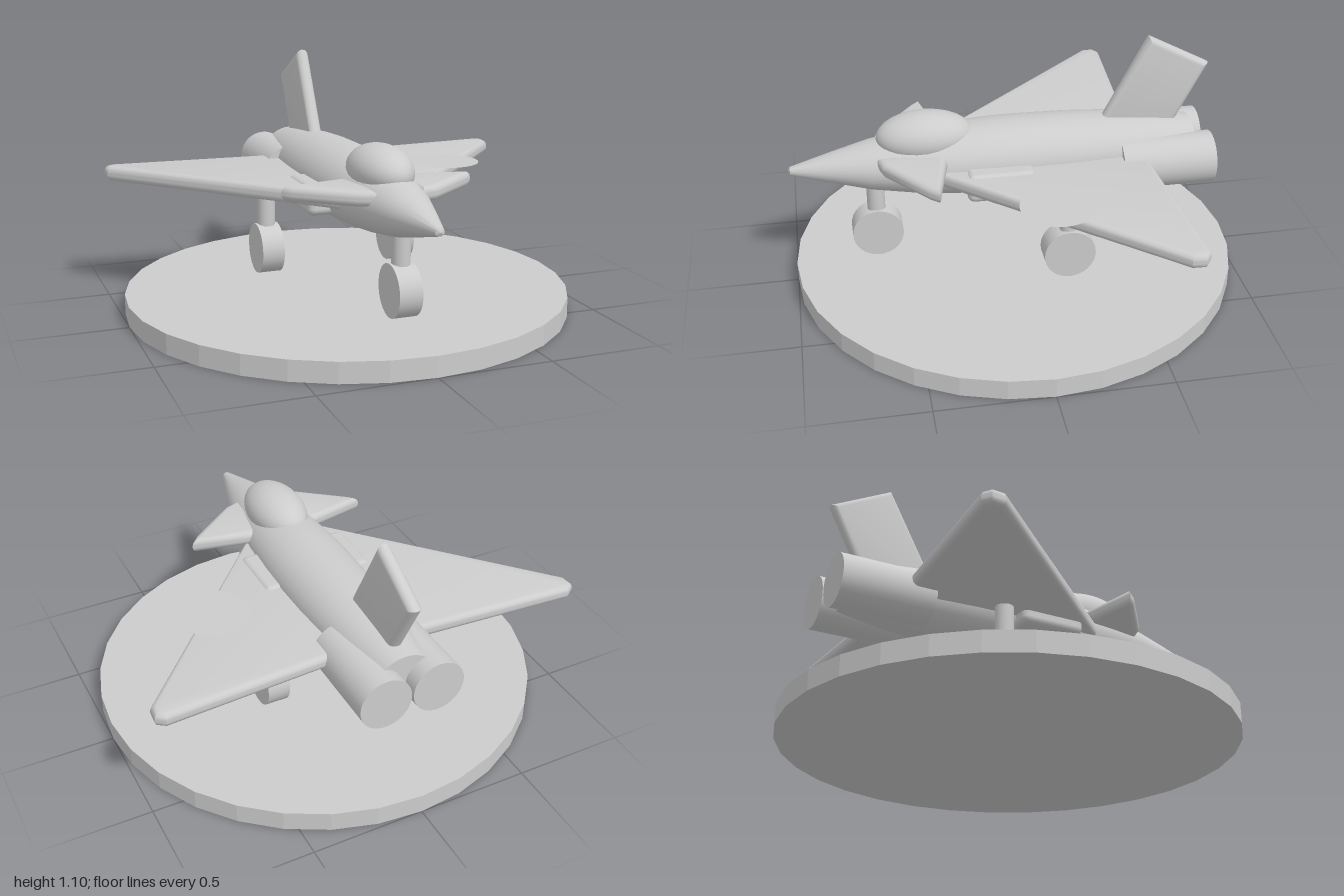
import * as THREE from 'three';
import { toCreasedNormals } from 'three/addons/utils/BufferGeometryUtils.js';
import { RoundedBoxGeometry } from 'three/addons/geometries/RoundedBoxGeometry.js';

export function createModel() {
  const model = new THREE.Group();
  model.name = 'jetOnStand';
  const grey = new THREE.MeshStandardMaterial({ color: 0xcccccc });
  grey.name = 'lightGrey';
  const greyThin = new THREE.MeshStandardMaterial({ color: 0xcccccc, side: THREE.DoubleSide });
  greyThin.name = 'lightGreyThin';

  const add = (name, geometry, x = 0, y = 0, z = 0, material = grey) => {
    const mesh = new THREE.Mesh(geometry, material);
    mesh.name = name;
    mesh.position.set(x, y, z);
    model.add(mesh);
    return mesh;
  };

  // Slab with rounded rim, centred on its own thickness
  const slab = (points, bevel = 0.028, thickness = 0.066) => {
    const shape = new THREE.Shape(points.map(([u, v]) => new THREE.Vector2(u, v)));
    const core = thickness - 2 * bevel;
    const geometry = new THREE.ExtrudeGeometry(shape, {
      depth: core, bevelEnabled: true, bevelThickness: bevel, bevelSize: bevel, bevelSegments: 4,
    });
    geometry.translate(0, 0, -core / 2);
    return toCreasedNormals(geometry, 0.6);
  };
  const flatSlab = (points, side) =>
    slab(points.map(([x, z]) => [x * side, -z])).rotateX(-Math.PI / 2);

  // Round display base
  add('base', toCreasedNormals(new THREE.CylinderGeometry(1, 1, 0.09, 32), 0.1), 0, 0.045, 0);

  // Fuselage, slightly flattened, tail to nose
  const profile = [
    [0, -0.81], [0.128, -0.81], [0.155, -0.64], [0.175, -0.46], [0.189, -0.25], [0.194, 0],
    [0.192, 0.1], [0.18, 0.3], [0.16, 0.46], [0.127, 0.64], [0.08, 0.8], [0.02, 0.99], [0, 1],
  ].map(([r, z]) => new THREE.Vector2(r, z));
  const body = new THREE.LatheGeometry(profile, 32).rotateX(Math.PI / 2).scale(1, 0.85, 1);
  add('fuselage', toCreasedNormals(body, 0.6), 0, 0.577, 0);

  // Cockpit bubble
  add('canopy', new THREE.SphereGeometry(1, 28, 18).scale(0.13, 0.11, 0.215), 0, 0.7, 0.395);

  // Tail fin
  const fin = slab([[-0.39, 0.65], [-0.612, 1.06], [-0.84, 0.94], [-0.68, 0.63]], 0.028, 0.062);
  add('tailFin', fin.rotateY(-Math.PI / 2));

  // Landing gear: strut and wheel
  const gear = (name, x, z) => {
    add(name + 'Strut', new THREE.CylinderGeometry(0.04, 0.04, 0.185, 20), x, 0.392, z);
    const wheel = new THREE.CylinderGeometry(0.114, 0.114, 0.102, 32).rotateZ(Math.PI / 2);
    add(name + 'Wheel', wheel, x, 0.244, z);
  };
  gear('nose', 0, 0.625);

  for (const side of [1, -1]) {
    const label = side > 0 ? 'left' : 'right';
    // Delta wing
    const wing = [[0.1, 0.42], [0.1, -0.54], [0.935, -0.592], [0.952, -0.58], [0.95, -0.545]];
    add(label + 'Wing', flatSlab(wing, side), 0, 0.567, 0);
    // Small foreplane
    const foreplane = [[0.12, 0.585], [0.12, 0.345], [0.16, 0.345], [0.39, 0.388], [0.378, 0.398], [0.16, 0.57]];
    add(label + 'Foreplane', flatSlab(foreplane, side), 0, 0.628, 0);
    // Air intake
    add(label + 'Intake', new RoundedBoxGeometry(0.12, 0.13, 0.3, 3, 0.03), side * 0.2, 0.545, 0.09);
    // Engine
    const engine = new THREE.CylinderGeometry(0.117, 0.117, 0.42, 32).rotateX(Math.PI / 2);
    add(label + 'Engine', engine, side * 0.121, 0.538, -0.67);
    gear(label, side * 0.32, -0.19);
  }

  // Round marking on the left wing
  add('wingRoundel', new THREE.CircleGeometry(0.16, 40).rotateX(-Math.PI / 2), 0.53, 0.604, -0.095, greyThin);

  return model;
}
